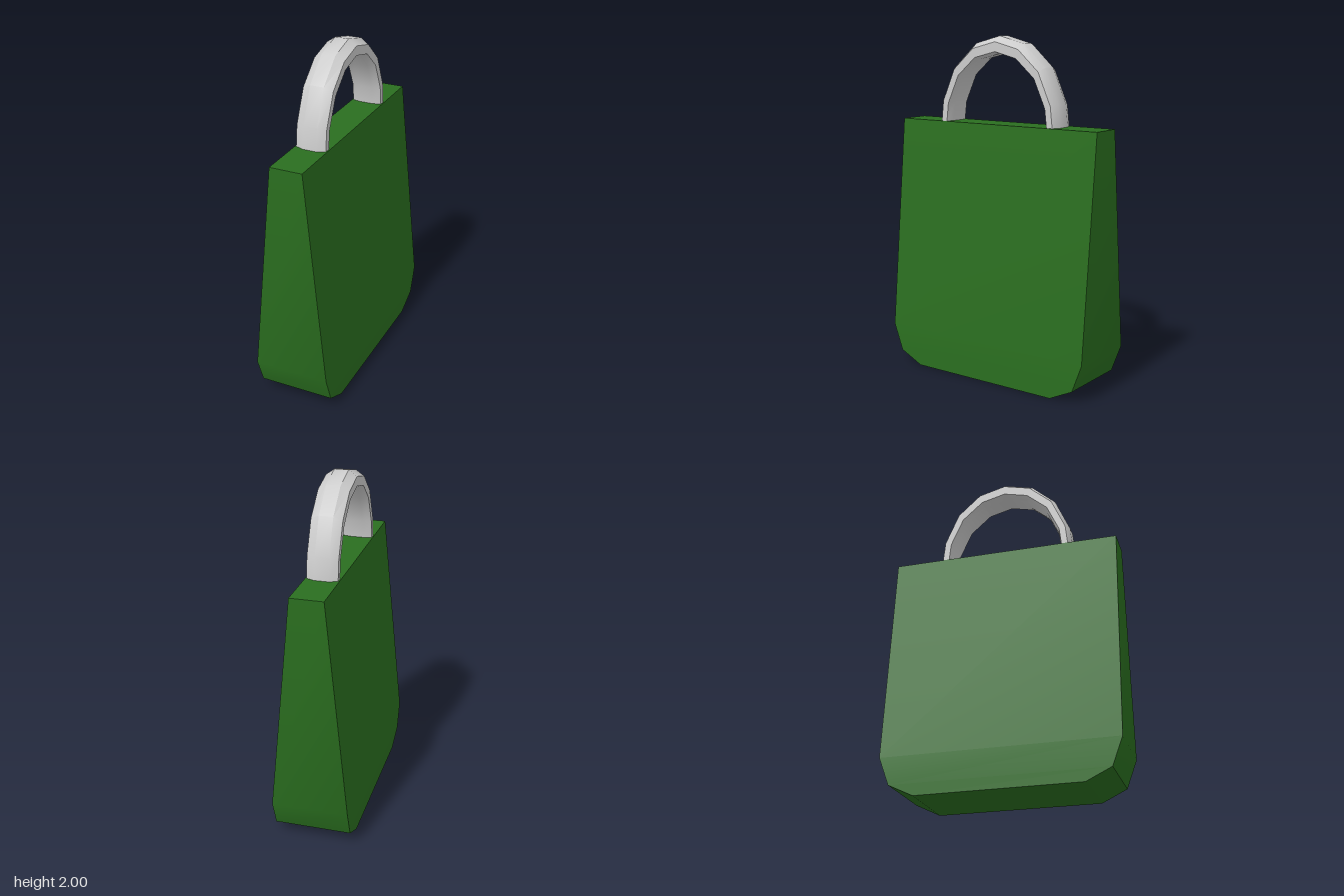
import * as THREE from 'three';
import { toCreasedNormals } from 'three/addons/utils/BufferGeometryUtils.js';

// Skin a list of equal-sized closed rings and cap both ends
function loft(rings) {
  const n = rings[0].length;
  const index = [];
  for (let i = 0; i < rings.length - 1; i++) {
    for (let j = 0; j < n; j++) {
      const a = i * n + j, b = i * n + (j + 1) % n;
      index.push(a, b, b + n, a, b + n, a + n);
    }
  }
  const last = (rings.length - 1) * n;
  for (let j = 1; j < n - 1; j++) {
    index.push(0, j + 1, j, last, last + j, last + j + 1);
  }
  const geometry = new THREE.BufferGeometry();
  geometry.setAttribute('position', new THREE.Float32BufferAttribute(rings.flat(2), 3));
  geometry.setIndex(index);
  return toCreasedNormals(geometry, THREE.MathUtils.degToRad(30));
}

function addPart(group, name, rings, color) {
  const mesh = new THREE.Mesh(loft(rings), new THREE.MeshStandardMaterial({ color }));
  mesh.name = name;
  group.add(mesh);
}

export function createModel() {
  const group = new THREE.Group();
  group.name = 'weight';

  // Tapered body with clipped lower ends: height, half width, half length
  const levels = [[0, 0.22, 0.475], [0.07, 0.22, 0.62], [0.23, 0.22, 0.68], [1.5, 0.095, 0.68]];
  const bodyRings = levels.map(([y, x, z]) => [[-x, y, z], [x, y, z], [x, y, -z], [-x, y, -z]]);
  addPart(group, 'body', bodyRings, 0x2a6e1f);

  // Arched handle with chamfered section: x, ellipse radius along z, ellipse radius along y
  const half = [[0.04, 0.41, 0.5], [0.088, 0.39, 0.467], [0.088, 0.352, 0.412], [0.04, 0.34, 0.4]];
  const mirrored = half.map(([x, a, b]) => [-x, a, b]).reverse();
  const section = [...half, ...mirrored];
  const angles = [0, 15, 41, 66, 90, 114, 139, 165, 180].map(THREE.MathUtils.degToRad);
  const handleRings = angles.map((t) =>
    section.map(([x, a, b]) => [x, 1.5 + b * Math.sin(t), a * Math.cos(t)]));
  addPart(group, 'handle', handleRings, 0xcccccc);

  return group;
}
